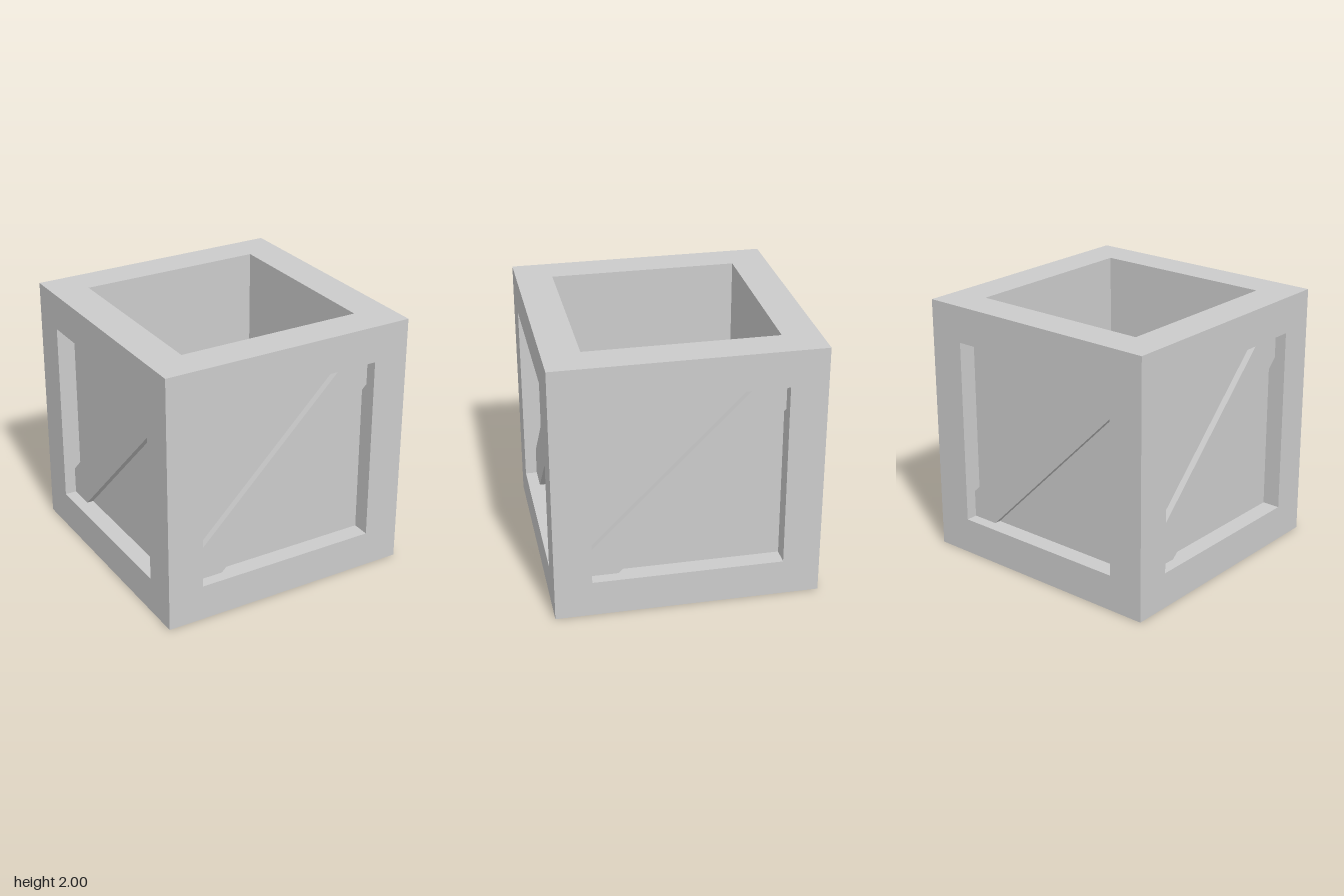
import * as THREE from 'three';

const OUT = 1;      // half of the crate's side
const IN = 0.72;    // half of each opening
const PANEL = 0.86; // distance of the recessed panels from the centre
const BRACE = 0.91; // distance of the brace faces from the centre
const CUT = 0.51;   // where the brace edges meet the opening

const solid = new THREE.MeshStandardMaterial({ color: 0xcccccc, flatShading: true });
const thin = new THREE.MeshStandardMaterial({ color: 0xcccccc, flatShading: true, side: THREE.DoubleSide });

function part(name, geometry, material = solid) {
  const mesh = new THREE.Mesh(geometry, material);
  mesh.name = name;
  return mesh;
}

const polygon = (points) => points.map(([x, y]) => new THREE.Vector2(x, y));
const square = (h) => polygon([[-h, -h], [h, -h], [h, h], [-h, h]]);

// Four walls of a square opening, running along y
const squareTube = (height) =>
  new THREE.CylinderGeometry(IN * Math.SQRT2, IN * Math.SQRT2, height, 4, 1, true, Math.PI / 4);

// Flat square frame facing +z
function frameGeometry() {
  const shape = new THREE.Shape(square(OUT));
  shape.holes.push(new THREE.Path(square(IN)));
  return new THREE.ShapeGeometry(shape).translate(0, 0, OUT);
}

// Diagonal plank with its ends trimmed to the opening's corners
function braceGeometry() {
  const shape = new THREE.Shape(polygon([
    [-IN, -IN], [-CUT, -IN], [IN, CUT], [IN, IN], [CUT, IN], [-IN, -CUT],
  ]));
  return new THREE.ExtrudeGeometry(shape, { depth: BRACE - PANEL, bevelEnabled: false })
    .translate(0, 0, PANEL);
}

// One closed side: frame, recess walls, panel and brace
function createSide(name) {
  const side = new THREE.Group();
  side.name = name;
  const recess = squareTube(OUT - PANEL).rotateX(Math.PI / 2).translate(0, 0, (OUT + PANEL) / 2);
  const panel = new THREE.PlaneGeometry(2 * IN, 2 * IN).translate(0, 0, PANEL);
  side.add(
    part('frame', frameGeometry()),
    part('recessWalls', recess, thin),
    part('panel', panel, thin),
    part('brace', braceGeometry()),
  );
  return side;
}

export function createModel() {
  const crate = new THREE.Group();
  crate.name = 'crate';

  // Four upright sides
  ['frontSide', 'leftSide', 'backSide', 'rightSide'].forEach((name, i) => {
    const side = createSide(name);
    side.rotation.y = i * Math.PI / 2;
    crate.add(side);
  });

  // Bottom, turned so its brace runs along the other diagonal
  const bottom = createSide('bottomSide');
  bottom.rotation.set(Math.PI / 2, 0, Math.PI / 2);
  crate.add(bottom);

  // Open top rim
  crate.add(part('topRim', frameGeometry().rotateX(-Math.PI / 2)));

  // Smooth-walled interior, open at the top
  crate.add(part('interiorWalls', squareTube(OUT + IN).translate(0, (OUT - IN) / 2, 0), thin));
  const floor = new THREE.PlaneGeometry(2 * IN, 2 * IN).rotateX(-Math.PI / 2).translate(0, -IN, 0);
  crate.add(part('interiorFloor', floor, thin));

  // Stand the crate on the ground
  crate.children.forEach((child) => { child.position.y = OUT; });
  return crate;
}
